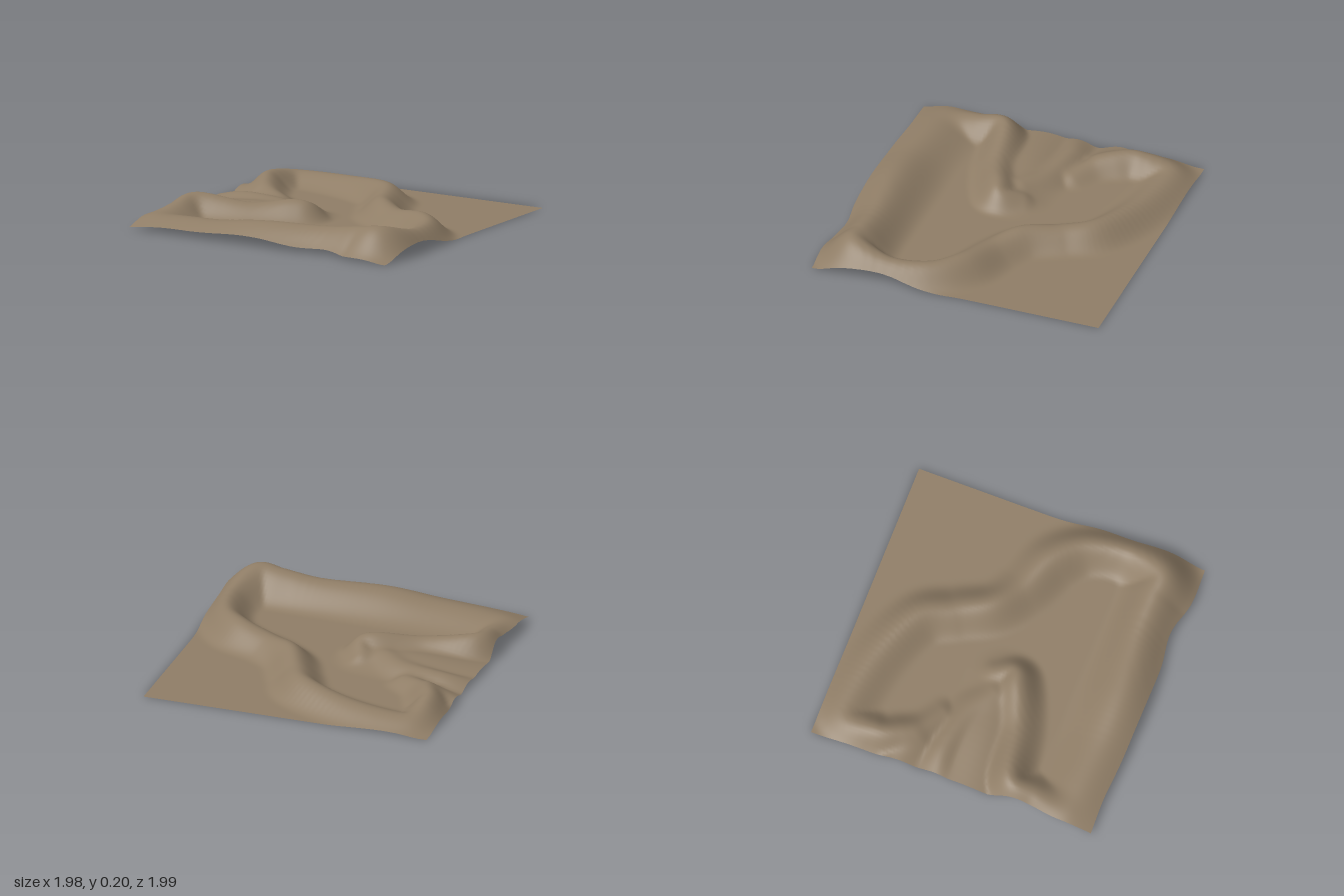
import * as THREE from 'three';

// Crest lines of the land; each point is [x, z, height, half width of the slope]
const ridges = [
  // front hills, bending round the right side and along the back
  [[-1, .75, .045, .3], [-.8, .77, .085, .32], [-.4, .8, .105, .32], [-.05, .8, .142, .32],
    [.38, .76, .15, .27], [.65, .76, .18, .27], [.81, .75, .197, .28], [.88, .5, .14, .2], [.83, .22, .135, .2],
    [.67, .04, .14, .23], [.42, -.07, .11, .22], [.24, -.2, .135, .21], [.12, -.42, .12, .21], [-.02, -.64, .13, .22],
    [-.4, -.8, .095, .23], [-.8, -.83, .08, .22], [-.85, -.6, .12, .18],
    [-.8, -.45, .115, .18], [-.71, -.33, .08, .16], [-.58, -.24, .055, .15]],
  // shoulder on the left edge
  [[-1, -.45, .035, .17], [-.78, -.35, .07, .17]],
  // headland on the left
  [[-.91, .72, .07, .25], [-.89, .52, .115, .2], [-.85, .33, .15, .2], [-.5, .25, .108, .2],
    [-.24, .15, .138, .2], [-.15, .1, .12, .17], [-.19, -.02, .07, .15]],
  // low spur behind the headland
  [[-1, -.12, .02, .16], [-.8, -.15, .068, .17], [-.5, -.09, .072, .18], [-.33, .02, .075, .18]],
  // broad rise joining spur and headland
  [[-1, .08, .025, .3], [-.6, .05, .065, .33], [-.25, .05, .065, .28]],
];

const crests = ridges.map((points) => {
  const line = new THREE.CatmullRomCurve3(points.map(([x, z, h]) => new THREE.Vector3(x, h, z)), false, 'catmullrom');
  const widths = new THREE.SplineCurve(points.map((p) => new THREE.Vector2(p[3], 0)));
  const n = points.length * 10;
  return Array.from({ length: n + 1 }, (_, i) => ({ p: line.getPoint(i / n), w: widths.getPoint(i / n).x }));
});

// Each crest falls off as a rounded bell; the crests blend softly where they meet
function heightAt(x, z) {
  let sum = 0;
  for (const crest of crests) {
    let top = 0;
    for (const { p, w } of crest) {
      const d = Math.hypot(x - p.x, z - p.z) / w;
      if (d < 1) top = Math.max(top, p.y * (0.5 + 0.5 * Math.cos(Math.PI * d)));
    }
    sum += top ** 4;
  }
  return sum ** 0.25;
}

// Wavy outline of the sheet, evenly spaced along each side
const outline = (values) => {
  const curve = new THREE.SplineCurve(values.map((v) => new THREE.Vector2(v, 0)));
  return (t) => curve.getPoint(t).x;
};
const leftEdge = outline([-.985, -.985, -.98, -.967, -.975, -.98, -.966, -.99, -.99]);
const rightEdge = outline([.965, .965, .965, .965, .968, .99, .978, .99, .975]);
const frontEdge = outline([.948, .945, .96, .965, .968, .965, .937, .99, .985]);

export function createModel() {
  const group = new THREE.Group();
  const earth = new THREE.MeshStandardMaterial({ color: 0x8f7d66, side: THREE.DoubleSide });
  earth.name = 'earth brown';

  // Sheet of ground, fitted to the outline and raised along the crests
  const geometry = new THREE.PlaneGeometry(2, 2, 100, 100).rotateX(-Math.PI / 2);
  const pos = geometry.attributes.position;
  for (let i = 0; i < pos.count; i++) {
    const u = (pos.getX(i) + 1) / 2;
    const v = (pos.getZ(i) + 1) / 2;
    const x = THREE.MathUtils.lerp(leftEdge(v), rightEdge(v), u);
    const z = THREE.MathUtils.lerp(-1, frontEdge(u), v);
    pos.setXYZ(i, x, heightAt(x, z), z);
  }
  geometry.computeVertexNormals();

  const terrain = new THREE.Mesh(geometry, earth);
  terrain.name = 'terrain';
  group.add(terrain);
  return group;
}
